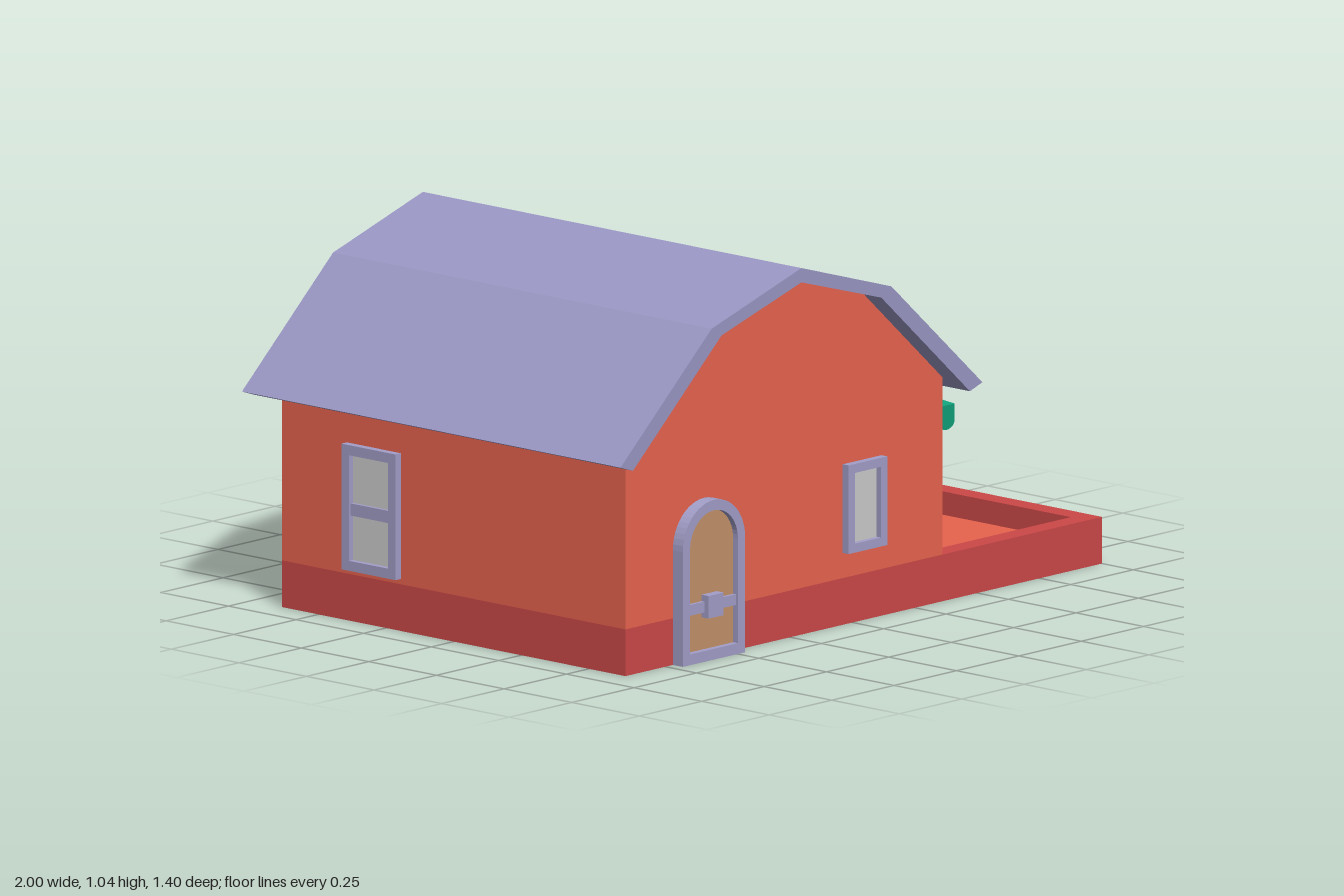
import * as THREE from 'three';

const mat = (color, side = THREE.FrontSide) => new THREE.MeshStandardMaterial({ color, side });
const RED = mat(0xcc4848), WALL = mat(0xe8634e), ROOF = mat(0x9a97c4), TRIM = mat(0xa29ec8);
const WOOD = mat(0xc4926a), GLASS = mat(0xcccccc), GREEN = mat(0x0f9f78, THREE.DoubleSide);

function mesh(name, geometry, material, parent) {
  const m = new THREE.Mesh(geometry, material);
  m.name = name;
  parent.add(m);
  return m;
}

// Box given by its minimum and maximum on each axis
function box(name, x0, x1, y0, y1, z0, z1, material, parent) {
  const m = mesh(name, new THREE.BoxGeometry(x1 - x0, y1 - y0, z1 - z0), material, parent);
  m.position.set((x0 + x1) / 2, (y0 + y1) / 2, (z0 + z1) / 2);
  return m;
}

const polygon = (pts) => new THREE.Shape(pts.map(([x, y]) => new THREE.Vector2(x, y)));
const rect = (x0, x1, y0, y1) => polygon([[x0, y0], [x1, y0], [x1, y1], [x0, y1]]);

function extrude(shape, depth, holes = []) {
  shape.holes.push(...holes);
  return new THREE.ExtrudeGeometry(shape, { depth, bevelEnabled: false, curveSegments: 12 });
}

// Round-headed outline standing on y0
function arch(r, y0, spring) {
  const s = new THREE.Shape();
  s.moveTo(-r, y0);
  s.lineTo(r, y0);
  s.lineTo(r, spring);
  s.absarc(0, spring, r, 0, Math.PI, false);
  s.closePath();
  return s;
}

// Window facing +z, standing on its bottom edge; bar is the height of the cross bar
function makeWindow(name, w, h, border, bar, mullion) {
  const g = new THREE.Group();
  g.name = name;
  const hw = w / 2, iw = hw - border;
  mesh('frame', extrude(rect(-hw, hw, 0, h), 0.022, [rect(-iw, iw, border, h - border)]), TRIM, g);
  box('glass', -iw, iw, border, h - border, -0.005, 0.006, GLASS, g);
  if (bar) box('crossBar', -iw, iw, bar - 0.017, bar + 0.017, 0, 0.016, TRIM, g);
  if (mullion) box('mullion', -0.016, 0.016, border, h - border, 0, 0.02, TRIM, g);
  return g;
}

// Strip hanging below y = 0 with a scalloped lower edge
function valance(length, count) {
  const s = new THREE.Shape(), step = length / count;
  s.moveTo(0, 0);
  s.lineTo(0, -0.045);
  for (let i = 0; i < count; i++) {
    s.absellipse((i + 0.5) * step, -0.045, step / 2, 0.023, Math.PI, Math.PI * 2, false);
  }
  s.lineTo(length, 0);
  s.closePath();
  return new THREE.ShapeGeometry(s, 8);
}

function makeAwning() {
  const g = new THREE.Group();
  g.name = 'awning';
  const edge = [[0.36, 0.57, 0.26], [0.43, 0.57, 0.26], [0.615, 0.48, 0.445], [0.36, 0.48, 0.445]];
  const [A, B, C, D] = edge;
  const [a, b, c, d] = edge.map(([x, y, z]) => [x, y, -z]);
  // Hipped canopy: top, sloping front and two sloping ends
  const quads = [[A, B, b, a], [B, C, c, b], [A, D, C, B], [a, b, c, d]];
  const pos = quads.flatMap(([p, q, r, s]) => [p, q, r, p, r, s]).flat();
  const geo = new THREE.BufferGeometry();
  geo.setAttribute('position', new THREE.Float32BufferAttribute(pos, 3));
  geo.computeVertexNormals();
  mesh('canopy', geo, GREEN, g);
  const front = mesh('frontValance', valance(0.89, 14), GREEN, g);
  front.rotation.y = Math.PI / 2;
  front.position.set(0.615, 0.48, 0.445);
  for (const z of [0.445, -0.445]) {
    mesh('sideValance', valance(0.255, 4), GREEN, g).position.set(0.36, 0.48, z);
  }
  return g;
}

function makeDoor() {
  const g = new THREE.Group();
  g.name = 'door';
  mesh('doorFrame', extrude(arch(0.125, 0, 0.32), 0.04, [arch(0.096, 0.03, 0.32)]), TRIM, g);
  mesh('doorPanel', extrude(arch(0.1, 0.02, 0.32), 0.022), WOOD, g);
  box('doorBar', -0.097, 0.097, 0.135, 0.165, 0, 0.032, TRIM, g);
  box('doorLock', -0.03, 0.03, 0.12, 0.183, 0, 0.048, TRIM, g);
  return g;
}

export function createModel() {
  const model = new THREE.Group();
  model.name = 'house';

  // Base with the sunken terrace
  const base = mesh('base', extrude(rect(-0.91, 1, -0.635, 0.635), 0.13,
    [rect(0.36, 0.94, -0.575, 0.575)]), RED, model);
  base.rotation.x = -Math.PI / 2;
  box('terraceBottom', 0.36, 0.94, 0, 0.05, -0.575, 0.575, RED, model);
  box('terraceFloor', 0.36, 0.94, 0.05, 0.065, -0.575, 0.575, WALL, model);

  // Walls with barn gables
  const walls = polygon([[-0.91, 0.13], [0.36, 0.13], [0.36, 0.625], [0.045, 0.907],
    [-0.275, 1.002], [-0.595, 0.907], [-0.91, 0.625]]);
  mesh('walls', extrude(walls, 1.27), WALL, model).position.z = -0.635;

  // Bent roof slab
  const roof = polygon([[-1, 0.605], [-0.95, 0.588], [-0.595, 0.907], [-0.275, 1.002],
    [0.045, 0.907], [0.4, 0.588], [0.45, 0.605], [0.085, 0.932], [-0.275, 1.042], [-0.635, 0.932]]);
  mesh('roof', extrude(roof, 1.4), ROOF, model).position.z = -0.7;

  // Door and windows
  const door = makeDoor();
  door.position.set(-0.595, 0, 0.632);
  const frontWindow = makeWindow('frontWindow', 0.155, 0.247, 0.025);
  frontWindow.position.set(0.038, 0.2, 0.635);
  const shopWindow = makeWindow('shopWindow', 0.805, 0.32, 0.03, 0.09, true);
  shopWindow.position.set(0.36, 0.18, 0.008);
  shopWindow.rotation.y = Math.PI / 2;
  const sideWindow = makeWindow('sideWindow', 0.2, 0.35, 0.028, 0.17);
  sideWindow.position.set(-0.91, 0.145, -0.295);
  sideWindow.rotation.y = -Math.PI / 2;
  model.add(door, frontWindow, shopWindow, sideWindow, makeAwning());

  return model;
}
